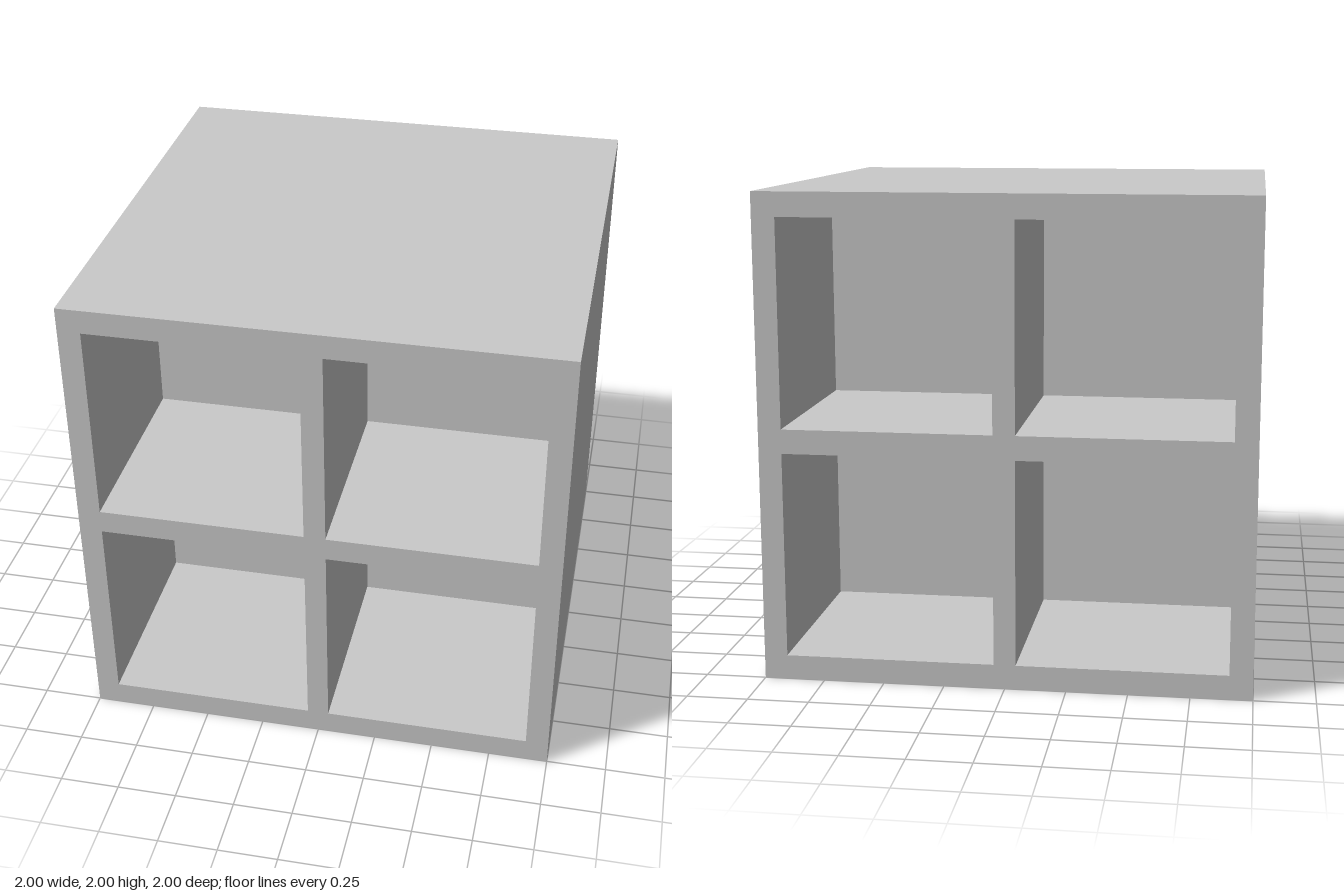
import * as THREE from 'three';

const SIZE = 2;
const PANEL = 0.24; // thickness of the middle wall shared by front and back cubbies
const OPEN_W = 0.86, OPEN_H = 0.85;
const CELL = 0.475; // opening centres, measured from the middle

function rectangle(PathType, cx, cy, w, h) {
  const path = new PathType();
  path.moveTo(cx - w / 2, cy - h / 2);
  path.lineTo(cx + w / 2, cy - h / 2);
  path.lineTo(cx + w / 2, cy + h / 2);
  path.lineTo(cx - w / 2, cy + h / 2);
  path.closePath();
  return path;
}

export function createModel() {
  const group = new THREE.Group();
  group.name = 'cubbyShelf';
  const grey = new THREE.MeshStandardMaterial({ color: 0xcacaca });
  grey.name = 'grey';

  // Cubic case with four openings running front to back
  const outline = rectangle(THREE.Shape, 0, 1, SIZE, SIZE);
  const panelGeometry = new THREE.BoxGeometry(OPEN_W, OPEN_H, PANEL);
  for (const sy of [-1, 1]) {
    for (const sx of [-1, 1]) {
      const x = sx * CELL, y = 1 + sy * CELL;
      outline.holes.push(rectangle(THREE.Path, x, y, OPEN_W, OPEN_H));

      // Middle wall closing each opening halfway
      const panel = new THREE.Mesh(panelGeometry, grey);
      panel.name = (sy > 0 ? 'upper' : 'lower') + (sx > 0 ? 'Left' : 'Right') + 'BackPanel';
      panel.position.set(x, y, 0);
      group.add(panel);
    }
  }
  const frameGeometry = new THREE.ExtrudeGeometry(outline, { depth: SIZE, bevelEnabled: false });
  frameGeometry.translate(0, 0, -SIZE / 2);
  const frame = new THREE.Mesh(frameGeometry, grey);
  frame.name = 'case';
  group.add(frame);

  return group;
}
